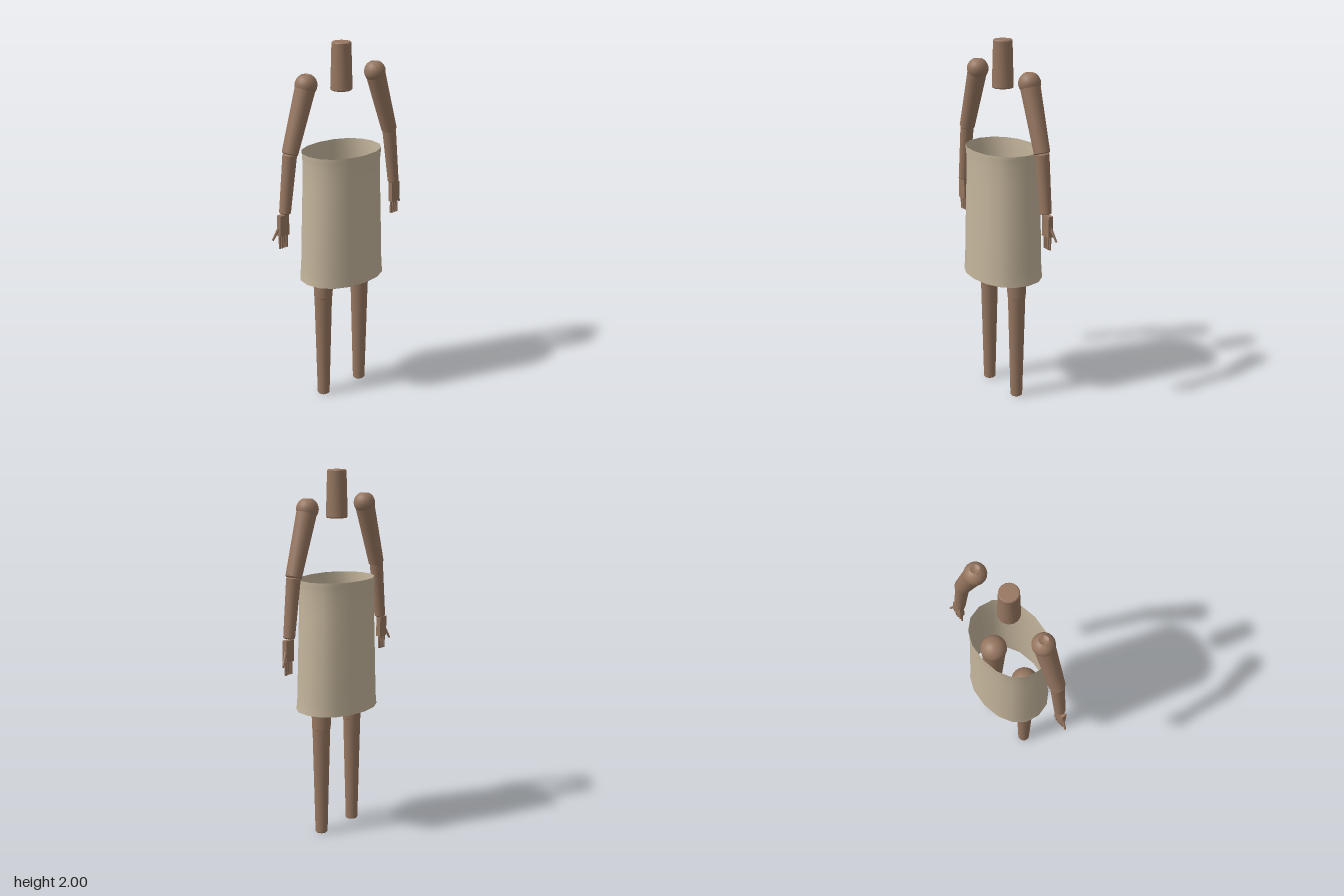
import * as THREE from 'three';
import { toCreasedNormals } from 'three/addons/utils/BufferGeometryUtils.js';

const V = (x, y, z = 0) => new THREE.Vector3(x, y, z);
const UP = V(0, 1, 0);

export function createModel() {
  const model = new THREE.Group();
  const wood = new THREE.MeshStandardMaterial({ color: 0x967660 });
  wood.name = 'brown wood';
  const cloth = new THREE.MeshStandardMaterial({ color: 0xc4b59c, side: THREE.DoubleSide });
  cloth.name = 'beige cloth';

  function add(parent, name, geometry, material = wood) {
    const mesh = new THREE.Mesh(geometry, material);
    mesh.name = name;
    parent.add(mesh);
    return mesh;
  }

  // Tapered rod from a (radius ra) to b (radius rb) with softly bevelled ends
  function limb(parent, name, a, b, ra, rb, sides = 16) {
    const dir = b.clone().sub(a);
    const len = dir.length();
    const e = Math.min(0.005, rb * 0.3);
    const profile = [[0, 0], [ra - e, 0], [ra, e], [rb, len - e], [rb - e, len], [0, len]];
    const geo = new THREE.LatheGeometry(profile.map(p => new THREE.Vector2(...p)), sides);
    const mesh = add(parent, name, toCreasedNormals(geo, 0.6));
    mesh.position.copy(a);
    mesh.quaternion.setFromUnitVectors(UP, dir.normalize());
    return mesh;
  }

  // Ball with a small dimple on top
  function shoulderGeometry(r) {
    const pts = [];
    for (let i = 0; i <= 12; i++) {
      const t = -Math.PI / 2 + (i / 12) * (Math.PI * 0.86);
      pts.push(new THREE.Vector2(Math.max(0, r * Math.cos(t)), r * Math.sin(t)));
    }
    pts.push(new THREE.Vector2(r * 0.22, r * 0.8), new THREE.Vector2(0, r * 0.76));
    return toCreasedNormals(new THREE.LatheGeometry(pts, 20), 0.6);
  }

  // Neck
  limb(model, 'neck', V(0, 1.745), V(0, 2), 0.059, 0.052);

  for (const s of [-1, 1]) {
    const side = s > 0 ? 'left' : 'right';

    // Arm
    const arm = new THREE.Group();
    arm.name = side + 'Arm';
    model.add(arm);
    add(arm, 'shoulder', shoulderGeometry(0.059)).position.set(s * 0.247, 1.808, 0);
    limb(arm, 'forearm', V(s * 0.403, 1.15), V(s * 0.363, 1.465), 0.031, 0.038);
    limb(arm, 'upperArm', V(s * 0.364, 1.462), V(s * 0.25, 1.8), 0.043, 0.054);

    // Hand
    add(arm, 'palm', new THREE.BoxGeometry(0.06, 0.114, 0.028)).position.set(s * 0.414, 1.088, -0.003);
    for (let i = 0; i < 4; i++) {
      const x = s * (0.392 + i * 0.0152);
      limb(arm, 'finger', V(x, 1.035, -0.004), V(x, 0.96, -0.004), 0.007, 0.006, 8);
    }
    limb(arm, 'thumb', V(s * 0.436, 1.085, -0.006), V(s * 0.474, 1.012, -0.018), 0.008, 0.006, 8);

    // Leg
    const leg = new THREE.Group();
    leg.name = side + 'Leg';
    model.add(leg);
    const hip = V(s * 0.127, 1.03);
    add(leg, 'hipBall', new THREE.SphereGeometry(0.074, 20, 14)).position.copy(hip);
    limb(leg, 'thigh', V(s * 0.138, 0.597), hip, 0.051, 0.07);
    limb(leg, 'shin', V(s * 0.139, 0), V(s * 0.138, 0.61), 0.034, 0.049);
  }

  // Skirt: open tube, oval in plan, flared at the hem and slightly at the top
  const rings = [[0.7, 0.254, 0.19], [0.76, 0.246, 0.187], [1.0, 0.239, 0.182],
    [1.25, 0.23, 0.177], [1.36, 0.229, 0.176], [1.40, 0.233, 0.179], [1.422, 0.234, 0.179]];
  const n = 16;
  const positions = [], index = [];
  rings.forEach(([y, rx, rz], j) => {
    for (let i = 0; i < n; i++) {
      const t = (i / n) * Math.PI * 2, c = Math.cos(t), d = Math.sin(t);
      const k = 0.92; // below 1 fills the oval out toward its corners
      positions.push(rx * Math.sign(c) * Math.abs(c) ** k, y, rz * Math.sign(d) * Math.abs(d) ** k);
      if (j < rings.length - 1) {
        const a = j * n + i, b = j * n + (i + 1) % n;
        index.push(a, a + n, b, b, a + n, b + n);
      }
    }
  });
  const skirt = new THREE.BufferGeometry();
  skirt.setAttribute('position', new THREE.Float32BufferAttribute(positions, 3));
  skirt.setIndex(index);
  skirt.computeVertexNormals();
  add(model, 'skirt', skirt, cloth);

  return model;
}
